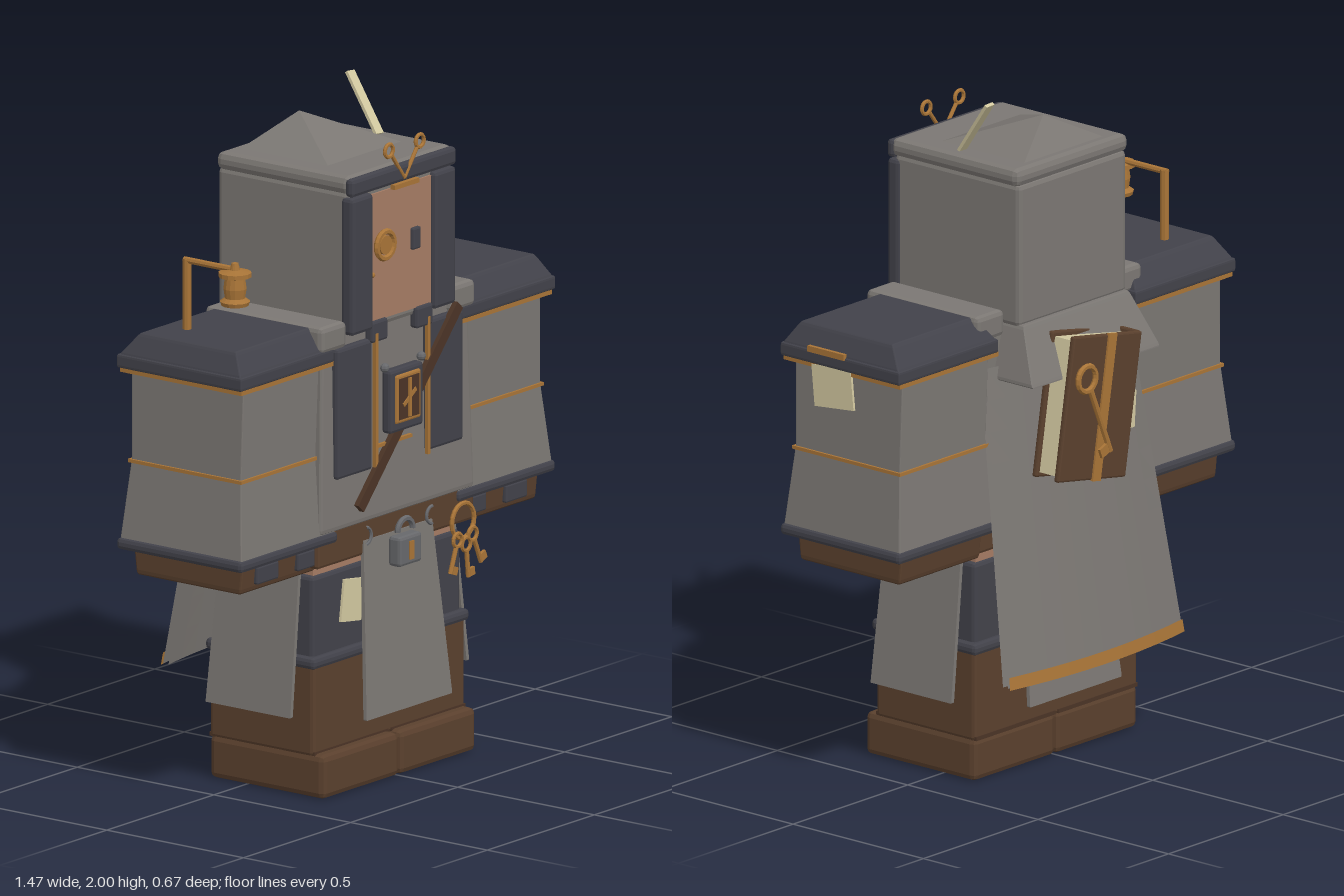
import * as THREE from 'three';
import { RoundedBoxGeometry } from 'three/addons/geometries/RoundedBoxGeometry.js';

const material = (name, color, side = THREE.FrontSide) =>
  Object.assign(new THREE.MeshStandardMaterial({ color, side, flatShading: true }), { name });

export function createModel() {
  const cloth = material('grey cloth', 0x7b7773, THREE.DoubleSide);
  const slate = material('slate plate', 0x42424a);
  const leather = material('brown leather', 0x5a402d);
  const strapMat = material('dark strap', 0x4b3426);
  const brass = material('brass', 0xa87437);
  const copper = material('copper face', 0xa67c64);
  const paper = material('paper', 0xd2c8a0, THREE.DoubleSide);
  const iron = material('iron', 0x67686b);

  const root = new THREE.Group();
  const group = (name, parent = root) => {
    const g = new THREE.Group();
    g.name = name;
    parent.add(g);
    return g;
  };
  const add = (parent, name, geo, mat, pos = [0, 0, 0], rot = [0, 0, 0]) => {
    const m = new THREE.Mesh(geo, mat);
    m.name = name;
    m.position.set(...pos);
    m.rotation.set(...rot);
    parent.add(m);
    return m;
  };
  // chamfered box, given centre and size
  const box = (parent, name, mat, pos, size, rot, bevel = 0) => {
    const geo = bevel ? new RoundedBoxGeometry(...size, 1, bevel) : new THREE.BoxGeometry(...size);
    if (bevel) geo.computeVertexNormals();
    return add(parent, name, geo, mat, pos, rot);
  };
  // chamfered block tapering between two rectangles [cx, cz, width, depth]
  const taper = (parent, name, mat, y0, y1, bottom, top, bevel = 0.012) => {
    const h = y1 - y0;
    const geo = new RoundedBoxGeometry(1, h, 1, 1, Math.min(bevel, h / 2.1));
    const p = geo.attributes.position;
    for (let i = 0; i < p.count; i++) {
      const t = p.getY(i) / h + 0.5;
      const [cx, cz, w, d] = bottom.map((b, k) => b + (top[k] - b) * t);
      p.setXYZ(i, cx + p.getX(i) * w, y0 + t * h, cz + p.getZ(i) * d);
    }
    geo.computeVertexNormals();
    return add(parent, name, geo, mat);
  };
  const rod = (parent, name, mat, a, b, r, sides = 8) => {
    const curve = new THREE.LineCurve3(new THREE.Vector3(...a), new THREE.Vector3(...b));
    const g = add(parent, name, new THREE.CylinderGeometry(r, r, curve.getLength(), sides), mat);
    g.position.copy(curve.getPoint(0.5));
    g.quaternion.setFromUnitVectors(new THREE.Vector3(0, 1, 0), curve.getTangent(0));
    return g;
  };
  const ring = (parent, name, mat, pos, r, tube, rot, arc = Math.PI * 2) =>
    add(parent, name, new THREE.TorusGeometry(r, tube, 6, 18, arc), mat, pos, rot);

  // boots, legs and hips
  const legs = group('legs');
  for (const s of [-1, 1]) {
    box(legs, 'boot', leather, [s * 0.179, 0.065, 0.08], [0.357, 0.13, 0.42], [0, 0, 0], 0.018);
    box(legs, 'bootTrim', strapMat, [s * 0.179, 0.13, 0.06], [0.345, 0.012, 0.385]);
  }
  box(legs, 'breeches', leather, [0, 0.26, 0.06], [0.71, 0.28, 0.38], [0, 0, 0], 0.012);
  box(legs, 'hipRim', slate, [0, 0.4, 0.06], [0.73, 0.035, 0.4], [0, 0, 0], 0.012);
  box(legs, 'hips', slate, [0, 0.53, 0.06], [0.69, 0.25, 0.36], [0, 0, 0], 0.012);
  box(legs, 'waist', copper, [0, 0.67, 0.06], [0.66, 0.04, 0.34]);

  // torso and belt
  const torso = group('torso');
  box(torso, 'belt', leather, [0, 0.74, 0.07], [0.73, 0.11, 0.41], [0, 0, 0], 0.01);
  taper(torso, 'coat', cloth, 0.785, 1.39, [0, 0.07, 0.72, 0.42], [0, 0.07, 0.68, 0.4], 0.015);
  for (const s of [-1, 1]) {
    box(torso, 'shoulderPad', cloth, [s * 0.3, 1.365, 0.07], [0.12, 0.08, 0.43], [0, 0, 0], 0.015);
    box(torso, 'lapel', slate, [s * 0.212, 1.135, 0.277], [0.165, 0.39, 0.03], [0, 0, 0], 0.01);
    box(torso, 'collarTab', slate, [s * 0.105, 1.35, 0.285], [0.075, 0.065, 0.03], [0, 0, 0], 0.008);
    box(torso, 'lapelCord', brass, [s * 0.122, 1.14, 0.295], [0.012, 0.41, 0.012]);
    add(torso, 'cordBead', new THREE.SphereGeometry(0.014, 8, 6), iron, [s * 0.085, 1.235, 0.3]);
  }
  box(torso, 'chestStrap', strapMat, [0.03, 1.095, 0.297], [0.035, 0.69, 0.016], [0, 0, -0.735]);
  box(torso, 'chestChain', brass, [-0.035, 1.005, 0.29], [0.17, 0.01, 0.01]);
  box(torso, 'buckleFrame', slate, [0, 1.13, 0.298], [0.155, 0.19, 0.035], [0, 0, 0], 0.01);
  box(torso, 'buckleRim', brass, [0, 1.135, 0.31], [0.115, 0.145, 0.024], [0, 0, 0], 0.006);
  box(torso, 'bucklePlate', strapMat, [0, 1.135, 0.314], [0.092, 0.122, 0.02]);
  box(torso, 'buckleTongue', brass, [0, 1.135, 0.322], [0.012, 0.115, 0.012]);
  box(torso, 'buckleBar', brass, [0, 1.135, 0.322], [0.07, 0.012, 0.01], [0, 0, 0.6]);

  // arms: shoulder cap, flared sleeve, glove
  for (const s of [-1, 1]) {
    const arm = group(s > 0 ? 'leftArm' : 'rightArm');
    taper(arm, 'glove', leather, 0.675, 0.765, [s * 0.515, 0.055, 0.35, 0.38], [s * 0.515, 0.055, 0.35, 0.4], 0.015);
    for (const x of [0.39, 0.58])
      box(arm, 'gloveStud', slate, [s * x, 0.722, 0.25], [0.1, 0.055, 0.025], [0, 0, 0], 0.006);
    box(arm, 'cuffRim', slate, [s * 0.508, 0.77, 0.055], [0.455, 0.035, 0.46], [0, 0, 0], 0.012);
    taper(arm, 'sleeveSkirt', cloth, 0.775, 1.02, [s * 0.506, 0.055, 0.44, 0.445], [s * 0.512, 0.055, 0.375, 0.4], 0.008);
    taper(arm, 'sleeve', cloth, 1.01, 1.31, [s * 0.512, 0.055, 0.375, 0.4], [s * 0.505, 0.055, 0.375, 0.41], 0.008);
    box(arm, 'sleevePiping', brass, [s * 0.512, 1.015, 0.055], [0.389, 0.01, 0.414]);
    box(arm, 'capTrim', brass, [s * 0.51, 1.288, 0.055], [0.43, 0.014, 0.445]);
    taper(arm, 'shoulderCapRim', slate, 1.295, 1.335, [s * 0.517, 0.055, 0.435, 0.455], [s * 0.517, 0.055, 0.435, 0.455], 0.008);
    taper(arm, 'shoulderCap', slate, 1.33, 1.4, [s * 0.517, 0.055, 0.43, 0.45], [s * 0.52, 0.06, 0.355, 0.35], 0.01);
  }
  const tag = group('shoulderTag');
  box(tag, 'tagClip', brass, [0.733, 1.338, 0.105], [0.012, 0.018, 0.14]);
  box(tag, 'tagSheet', paper, [0.722, 1.235, 0.09], [0.008, 0.125, 0.15], [0.1, 0, 0]);

  // head: square helm with open face and low pyramid roof
  const head = group('head');
  box(head, 'helm', cloth, [0, 1.57, 0.045], [0.47, 0.43, 0.48], [0, 0, 0], 0.015);
  box(head, 'helmRim', cloth, [0, 1.805, 0.05], [0.49, 0.055, 0.49], [0, 0, 0], 0.02);
  add(head, 'roof', new THREE.ConeGeometry(1, 0.1, 4, 1).rotateY(Math.PI / 4).scale(0.27, 1, 0.25)
    .applyMatrix4(new THREE.Matrix4().set(1, 0, 0, 0, 0, 1, 0, 0, 0, -0.9, 1, 0, 0, 0, 0, 1)),
  cloth, [0, 1.872, -0.035]);
  box(head, 'face', copper, [0, 1.57, 0.285], [0.3, 0.38, 0.012]);
  box(head, 'browPlate', slate, [0, 1.8, 0.292], [0.49, 0.055, 0.03], [0, 0, 0], 0.012);
  for (const s of [-1, 1]) {
    box(head, 'cheekPlate', slate, [s * 0.193, 1.565, 0.284], [0.1, 0.41, 0.045], [0, 0, 0], 0.012);
    rod(head, 'antenna', brass, [0, 1.785, 0.305], [s * 0.06, 1.865, 0.305], 0.006);
    ring(head, 'antennaRing', brass, [s * 0.072, 1.88, 0.305], 0.019, 0.006);
  }
  box(head, 'antennaBase', brass, [0, 1.768, 0.308], [0.115, 0.014, 0.016]);
  ring(head, 'monocleRing', brass, [-0.08, 1.6, 0.298], 0.04, 0.009);
  add(head, 'monocleLens', new THREE.CylinderGeometry(0.028, 0.028, 0.016, 16), brass, [-0.08, 1.6, 0.294], [Math.PI / 2, 0, 0]);
  box(head, 'eye', slate, [0.065, 1.59, 0.294], [0.038, 0.066, 0.016], [0, 0, 0], 0.006);
  add(head, 'cheekRivet', new THREE.SphereGeometry(0.008, 8, 6), brass, [-0.133, 1.52, 0.293]);
  box(head, 'quill', paper, [0.203, 1.916, 0.0], [0.032, 0.205, 0.01], [-0.64, 0, -0.09]);

  // lantern on a bent post over the right shoulder
  const lantern = group('lantern');
  rod(lantern, 'post', brass, [-0.58, 1.39, -0.035], [-0.58, 1.61, -0.035], 0.013);
  rod(lantern, 'postArm', brass, [-0.58, 1.605, -0.045], [-0.58, 1.605, 0.14], 0.01);
  const profile = [[0, 1.5], [0.04, 1.5], [0.044, 1.512], [0.03, 1.522], [0.034, 1.55], [0.03, 1.58],
    [0.048, 1.585], [0.048, 1.598], [0.015, 1.605], [0.01, 1.625], [0, 1.625]];
  add(lantern, 'lamp', new THREE.LatheGeometry(profile.map(p => new THREE.Vector2(...p)), 14), brass, [-0.58, 0, 0.14]);

  // hanging skirt panels
  const skirt = group('skirtPanels');
  taper(skirt, 'frontPanel', cloth, 0.21, 0.73, [0, 0.318, 0.4, 0.012], [0.005, 0.272, 0.32, 0.012], 0.004);
  taper(skirt, 'backPanel', cloth, 0.205, 0.73, [0, -0.2, 0.4, 0.012], [0, -0.14, 0.32, 0.012], 0.004);
  for (const s of [-1, 1])
    taper(skirt, 'sidePanel', cloth, 0.245, 0.69, [s * 0.412, 0.06, 0.012, 0.31], [s * 0.358, 0.06, 0.012, 0.29], 0.004);

  // belt gear: padlock, hooks, key ring, note
  const gear = group('beltGear');
  box(gear, 'padlock', iron, [0, 0.68, 0.308], [0.105, 0.09, 0.045], [0, 0, 0], 0.01);
  ring(gear, 'shackle', iron, [0, 0.735, 0.308], 0.035, 0.009, [0, 0, 0], Math.PI);
  box(gear, 'keyhole', brass, [0, 0.68, 0.33], [0.02, 0.055, 0.008]);
  for (const s of [-1, 1])
    ring(gear, 'hook', iron, [s * 0.155, 0.745, 0.285], 0.026, 0.005, [0, 0, s > 0 ? Math.PI / 2 : -Math.PI / 2], Math.PI);
  ring(gear, 'keyRing', brass, [0.29, 0.7, 0.292], 0.052, 0.007);
  for (const [x, y, a] of [[0.255, 0.65, -0.35], [0.295, 0.63, 0.1], [0.325, 0.655, 0.4]]) {
    const key = group('key', gear);
    key.position.set(x, y, 0.3);
    key.rotation.z = a;
    ring(key, 'keyBow', brass, [0, 0, 0], 0.02, 0.006);
    rod(key, 'keyShaft', brass, [0, -0.02, 0], [0, -0.1, 0], 0.007);
    box(key, 'keyBit', brass, [0.012, -0.088, 0], [0.03, 0.024, 0.01]);
  }
  box(gear, 'note', paper, [-0.19, 0.56, 0.262], [0.095, 0.125, 0.008], [0, 0, -0.14]);
  box(gear, 'legClasp', brass, [0.215, 0.285, 0.255], [0.03, 0.05, 0.02], [0, 0, 0], 0.005);

  // cape: curved rows that flare outward, with a brass hem
  const cape = group('cape');
  const sheet = (name, mat, t0, t1, rows, lift) => {
    const geo = new THREE.PlaneGeometry(2, 1, 10, rows);
    const p = geo.attributes.position;
    for (let i = 0; i < p.count; i++) {
      const u = p.getX(i), t = t0 + (t1 - t0) * (0.5 - p.getY(i));
      p.setXYZ(i, u * (0.315 + 0.065 * t), 1.24 - 0.92 * t, -0.135 - 0.145 * t - lift - (1 - u * u) * 0.035);
    }
    geo.computeVertexNormals();
    add(cape, name, geo, mat);
  };
  sheet('capeCloth', cloth, 0, 1, 10, 0);
  sheet('capeLining', cloth, 0, 1, 10, -0.02);
  const hem = brass.clone();
  hem.side = THREE.DoubleSide;
  sheet('capeHem', hem, 0.965, 1.005, 1, 0.007);
  taper(cape, 'mantle', cloth, 1.2, 1.365, [0, -0.21, 0.56, 0.15], [0, -0.155, 0.46, 0.1], 0.012);

  // tilted book strapped to the back, with a large key
  const book = group('book');
  book.position.set(0.025, 1.095, -0.27);
  book.rotation.z = 0.17;
  box(book, 'pages', paper, [0, 0, 0], [0.275, 0.4, 0.07]);
  for (const z of [-0.042, 0.042]) box(book, 'cover', leather, [0, 0, z], [0.3, 0.43, 0.018], [0, 0, 0], 0.006);
  box(book, 'spine', leather, [-0.145, 0, 0], [0.018, 0.43, 0.09], [0, 0, 0], 0.006);
  box(book, 'bookStrap', brass, [-0.015, 0, -0.052], [0.035, 0.435, 0.01]);
  ring(book, 'bigKeyBow', brass, [0.085, 0.09, -0.06], 0.038, 0.009);
  rod(book, 'bigKeyShaft', brass, [0.063, 0.055, -0.06], [-0.055, -0.13, -0.06], 0.009);
  box(book, 'bigKeyBit', brass, [-0.03, -0.125, -0.06], [0.045, 0.03, 0.012], [0, 0, -0.55]);
  box(book, 'bookmark', paper, [-0.18, -0.03, 0.0], [0.07, 0.11, 0.008], [0, 0, -0.1]);

  return root;
}
